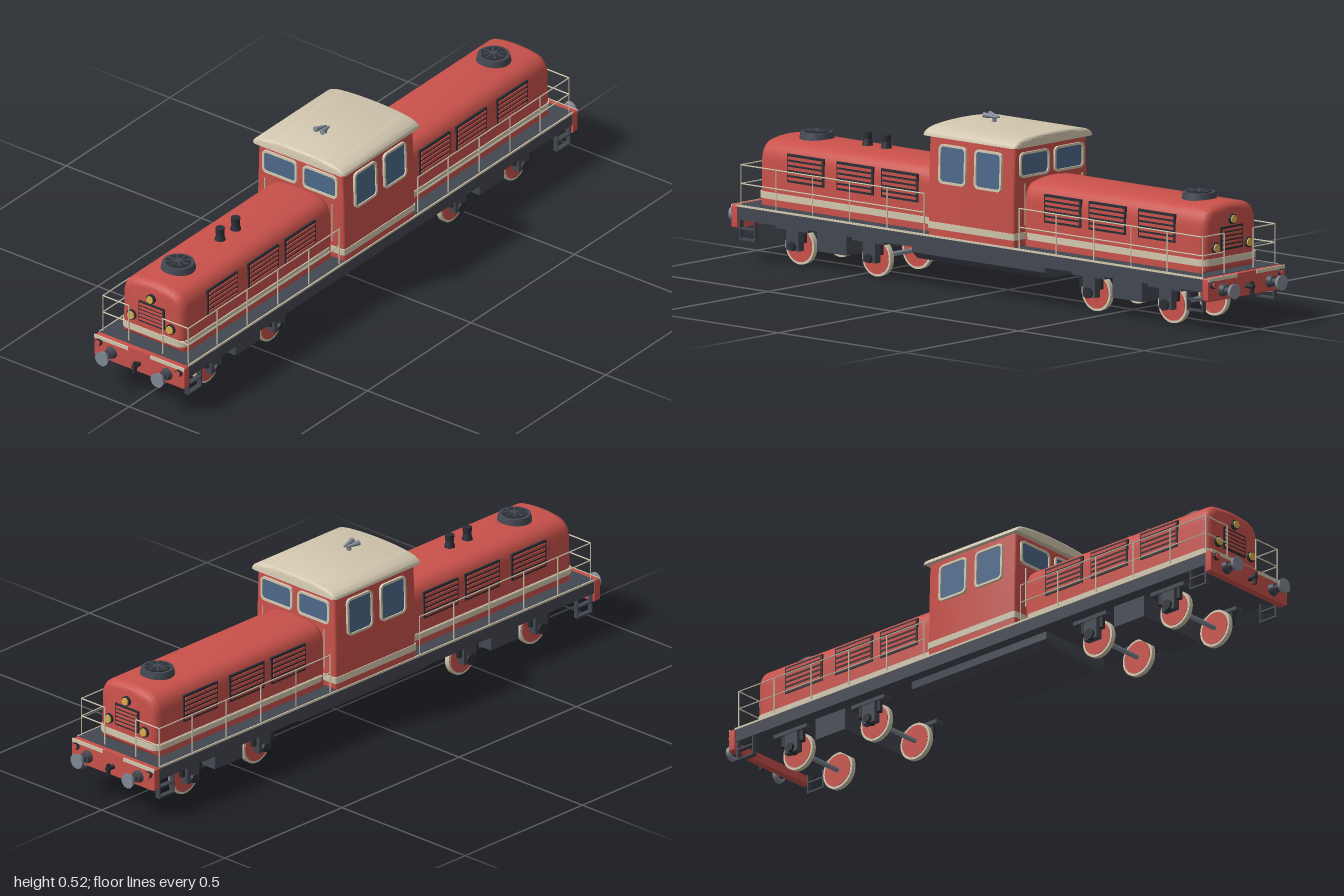
import * as THREE from 'three';
import { toCreasedNormals } from 'three/addons/utils/BufferGeometryUtils.js';

const mat = (name, color) => Object.assign(new THREE.MeshStandardMaterial({ color }), { name });
const red = mat('body red', 0xc9514a);
const cream = mat('cream', 0xd3c8b0);
const dark = mat('frame grey', 0x434751);
const black = mat('fittings black', 0x2b2e35);
const steel = mat('steel', 0x828994);
const glass = mat('window blue', 0x4d6a8a);
const lampYellow = mat('lamp yellow', 0xd8b04c);

function add(parent, name, geometry, material, x = 0, y = 0, z = 0) {
  const mesh = new THREE.Mesh(geometry, material);
  mesh.name = name;
  mesh.position.set(x, y, z);
  parent.add(mesh);
  return mesh;
}
function group(parent, name, turn = 0) {
  const g = new THREE.Group();
  g.name = name;
  g.rotation.y = turn;
  parent.add(g);
  return g;
}
const box = (w, h, d) => new THREE.BoxGeometry(w, h, d);
const rod = (r1, r2, len, axis = 'y', n = 24) => {
  const g = new THREE.CylinderGeometry(r1, r2, len, n);
  if (axis === 'z') g.rotateX(Math.PI / 2);
  if (axis === 'x') g.rotateZ(-Math.PI / 2);
  return g;
};

// Rounded rectangle centred on the origin
function roundRect(w, h, r, Kind = THREE.Shape) {
  const s = new Kind();
  const x = w / 2 - r, y = h / 2 - r;
  s.absarc(x, y, r, 0, Math.PI / 2);
  s.absarc(-x, y, r, Math.PI / 2, Math.PI);
  s.absarc(-x, -y, r, Math.PI, Math.PI * 1.5);
  s.absarc(x, -y, r, Math.PI * 1.5, Math.PI * 2);
  s.closePath();
  return s;
}
const extrude = (shape, depth) =>
  toCreasedNormals(new THREE.ExtrudeGeometry(shape, { depth, bevelEnabled: false, curveSegments: 6 }), 0.6);

// Cross-section swept along z from z0 to z1, with rounded ends
function roundedSweep(shape, z0, z1, b) {
  const g = new THREE.ExtrudeGeometry(shape, {
    depth: z1 - z0 - 2 * b, bevelSize: b, bevelThickness: b, bevelOffset: -b, bevelSegments: 5, curveSegments: 10,
  });
  return toCreasedNormals(g.translate(0, 0, z0 + b), 0.6);
}

// Framed pane facing +z
function windowPane(parent, w, h, x, y, z) {
  const frame = roundRect(w, h, 0.016);
  frame.holes.push(roundRect(w - 0.014, h - 0.014, 0.011, THREE.Path));
  add(parent, 'windowFrame', extrude(frame, 0.008), cream, x, y, z);
  add(parent, 'windowGlass', extrude(roundRect(w - 0.012, h - 0.012, 0.011), 0.004), glass, x, y, z);
}

// Dark grille with red slats, facing +z
function louvre(parent, w, h, slats, x, y, z) {
  add(parent, 'louvreBack', box(w, h, 0.006), black, x, y, z);
  const pitch = (h - 0.008) / slats;
  for (let i = 0; i < slats; i++)
    add(parent, 'louvreSlat', box(w - 0.012, pitch * 0.55, 0.006), red, x, y - h / 2 + 0.004 + pitch * (i + 0.5), z + 0.003);
}

function lamp(parent, x, y, z, r, lens) {
  add(parent, 'lampRing', rod(r, r, 0.014, 'z'), black, x, y, z);
  add(parent, 'lampLens', rod(r * 0.75, r * 0.8, 0.006, 'z'), lens, x, y, z + 0.008);
}

function buildHood(end, isFront) {
  const s = new THREE.Shape();
  s.moveTo(-0.116, 0.163);
  s.lineTo(0.116, 0.163);
  s.lineTo(0.115, 0.295);
  s.quadraticCurveTo(0.114, 0.354, 0.065, 0.361);
  s.quadraticCurveTo(0, 0.372, -0.065, 0.361);
  s.quadraticCurveTo(-0.114, 0.354, -0.115, 0.295);
  add(end, 'hood', roundedSweep(s, 0.16, 0.89, 0.026), red);
  const band = extrude(roundRect(0.239, 0.724, 0.028), 0.02).rotateX(-Math.PI / 2);
  add(end, 'hoodStripe', band, cream, 0, 0.187, 0.531);
  louvre(end, 0.096, 0.07, 5, 0, 0.262, 0.89);
  lamp(end, 0, 0.317, 0.892, 0.015, lampYellow);
  for (const x of [-0.072, 0.072]) lamp(end, x, 0.239, 0.89, 0.016, lampYellow);
  for (const side of [1, -1]) {
    const face = group(end, 'hoodSide', side * Math.PI / 2);
    for (const z of [0.325, 0.503, 0.7]) louvre(face, 0.147, 0.085, 5, -side * z, 0.288, 0.115);
  }
  // Roof fan
  add(end, 'fanHousing', rod(0.048, 0.053, 0.024, 'y', 32), dark, 0, 0.372, 0.762);
  add(end, 'fanGrille', rod(0.038, 0.038, 0.003, 'y', 32), black, 0, 0.385, 0.762);
  for (let i = 0; i < 4; i++) {
    const bar = add(end, 'fanBar', box(0.074, 0.003, 0.004), dark, 0, 0.387, 0.762);
    bar.rotation.y = i * Math.PI / 4;
  }
  add(end, 'fanHub', rod(0.011, 0.011, 0.005), dark, 0, 0.387, 0.762);
  if (isFront) for (const z of [0.485, 0.56]) {
    add(end, 'exhaustBase', rod(0.011, 0.018, 0.026), black, 0, 0.374, z);
    add(end, 'exhaustPipe', rod(0.014, 0.013, 0.02), black, 0, 0.396, z);
  }
}

function buildRailings(end) {
  const r = 0.0021;
  for (const s of [1, -1]) {
    for (const y of [0.285, 0.229]) {
      add(end, 'sideRail', rod(r, r, 0.73, 'z', 6), cream, s * 0.158, y, 0.555);
      add(end, 'endRail', rod(r, r, 0.095, 'x', 6), cream, s * 0.1105, y, 0.92);
    }
    for (const z of [0.19, 0.337, 0.487, 0.635, 0.78, 0.92])
      add(end, 'railPost', rod(r, r, 0.122, 'y', 6), cream, s * 0.158, 0.225, z);
    add(end, 'railPost', rod(r, r, 0.122, 'y', 6), cream, s * 0.063, 0.225, 0.92);
    add(end, 'cabGrabRail', rod(r, r, 0.125, 'y', 6), cream, s * 0.125, 0.292, 0.182);
  }
}

function buildBufferBeam(end) {
  add(end, 'bufferBeam', extrude(roundRect(0.334, 0.07, 0.006), 0.022), red, 0, 0.13, 0.928);
  add(end, 'couplingHook', box(0.007, 0.038, 0.012), black, 0, 0.12, 0.972);
  add(end, 'couplingBar', rod(0.007, 0.007, 0.035, 'z', 12), black, 0, 0.124, 0.962);
  for (const s of [1, -1]) {
    add(end, 'beamStripe', box(0.125, 0.011, 0.004), cream, s * 0.104, 0.16, 0.95);
    add(end, 'bufferCollar', rod(0.015, 0.02, 0.016, 'z'), dark, s * 0.103, 0.125, 0.957);
    add(end, 'bufferShaft', rod(0.011, 0.011, 0.035, 'z'), dark, s * 0.103, 0.125, 0.973);
    add(end, 'bufferHead', rod(0.023, 0.02, 0.012, 'z', 32), steel, s * 0.103, 0.125, 0.994);
    lamp(end, s * 0.148, 0.145, 0.951, 0.011, red);
    // Corner step
    for (const z of [0.862, 0.922]) add(end, 'stepHanger', box(0.015, 0.065, 0.005), dark, s * 0.155, 0.094, z);
    for (const y of [0.064, 0.096]) add(end, 'stepTread', box(0.016, 0.005, 0.062), dark, s * 0.155, y, 0.892);
  }
}

function buildRunningGear(end) {
  for (const z of [0.438, 0.743]) {
    add(end, 'axle', rod(0.0075, 0.0075, 0.2, 'x', 16), steel, 0, 0.058, z);
    for (const s of [1, -1]) {
      add(end, 'wheelTyre', rod(0.0575, 0.0575, 0.015, 'x', 36), cream, s * 0.088, 0.0575, z);
      add(end, 'wheelDisc', rod(0.05, 0.05, 0.018, 'x', 36), red, s * 0.088, 0.0575, z);
      add(end, 'axleBox', box(0.022, 0.065, 0.05), dark, s * 0.116, 0.078, z);
      add(end, 'axleCap', rod(0.013, 0.017, 0.03, 'x', 16), black, s * 0.12, 0.059, z);
      add(end, 'springPlate', box(0.028, 0.012, 0.13), dark, s * 0.116, 0.112, z);
      for (const dz of [-0.036, 0.036])
        add(end, 'spring', rod(0.009, 0.009, 0.034, 'y', 12), black, s * 0.116, 0.09, z + dz);
    }
  }
  add(end, 'equipmentBox', box(0.25, 0.07, 0.118), dark, 0, 0.09, 0.589);
}

function buildCab(model) {
  const cab = group(model, 'cab');
  const s = new THREE.Shape();
  [[-0.163, 0.163], [0.163, 0.163], [0.162, 0.32], [0.157, 0.466], [-0.157, 0.466], [-0.162, 0.32]]
    .forEach(([x, y], i) => (i ? s.lineTo(x, y) : s.moveTo(x, y)));
  add(cab, 'cabBody', roundedSweep(s, -0.171, 0.171, 0.01), red);
  add(cab, 'cabStripe', extrude(roundRect(0.331, 0.348, 0.012), 0.02).rotateX(-Math.PI / 2), cream, 0, 0.187, 0);
  for (const turn of [0, Math.PI]) {
    const face = group(cab, 'cabEnd', turn);
    for (const x of [-0.075, 0.075]) windowPane(face, 0.128, 0.076, x, 0.408, 0.169);
  }
  for (const side of [1, -1]) {
    const face = group(cab, 'cabSide', side * Math.PI / 2);
    for (const x of [-0.071, 0.071]) {
      const pane = group(face, 'sideWindow');
      pane.position.set(x, 0.384, 0.159);
      pane.rotation.x = -0.034;
      windowPane(pane, 0.108, 0.118, 0, 0, 0);
    }
  }
  // Arched roof
  const r = new THREE.Shape();
  r.moveTo(-0.171, 0.462);
  r.lineTo(0.171, 0.462);
  r.quadraticCurveTo(0.169, 0.482, 0.125, 0.489);
  r.quadraticCurveTo(0.07, 0.496, 0, 0.496);
  r.quadraticCurveTo(-0.07, 0.496, -0.125, 0.489);
  r.quadraticCurveTo(-0.169, 0.482, -0.171, 0.462);
  add(cab, 'roof', roundedSweep(r, -0.187, 0.187, 0.012), cream);
  // Twin horn
  add(cab, 'hornPost', rod(0.006, 0.008, 0.018, 'y', 12), steel, 0, 0.502, 0.055);
  for (const side of [1, -1]) {
    const horn = add(cab, 'horn', rod(0.0085, 0.003, 0.045, 'z', 16), steel, side * 0.009, 0.512, 0.062);
    horn.rotation.set(-0.1, side * 0.2, 0);
  }
}

export function createModel() {
  const model = new THREE.Group();
  model.name = 'locomotive';
  add(model, 'deck', box(0.328, 0.044, 1.862), dark, 0, 0.144, 0);
  for (const s of [1, -1]) add(model, 'deckLine', box(0.004, 0.006, 1.86), cream, s * 0.164, 0.1635, 0);

  // Underfloor tank with chamfered lower edges
  const t = new THREE.Shape();
  [[-0.13, 0.13], [-0.13, 0.098], [-0.108, 0.078], [0.108, 0.078], [0.13, 0.098], [0.13, 0.13]]
    .forEach(([x, y], i) => (i ? t.lineTo(x, y) : t.moveTo(x, y)));
  add(model, 'fuelTank', roundedSweep(t, -0.268, 0.268, 0.008), dark);

  buildCab(model);
  for (const front of [true, false]) {
    const end = group(model, front ? 'frontEnd' : 'rearEnd', front ? 0 : Math.PI);
    buildHood(end, front);
    buildRailings(end);
    buildBufferBeam(end);
    buildRunningGear(end);
  }
  return model;
}
